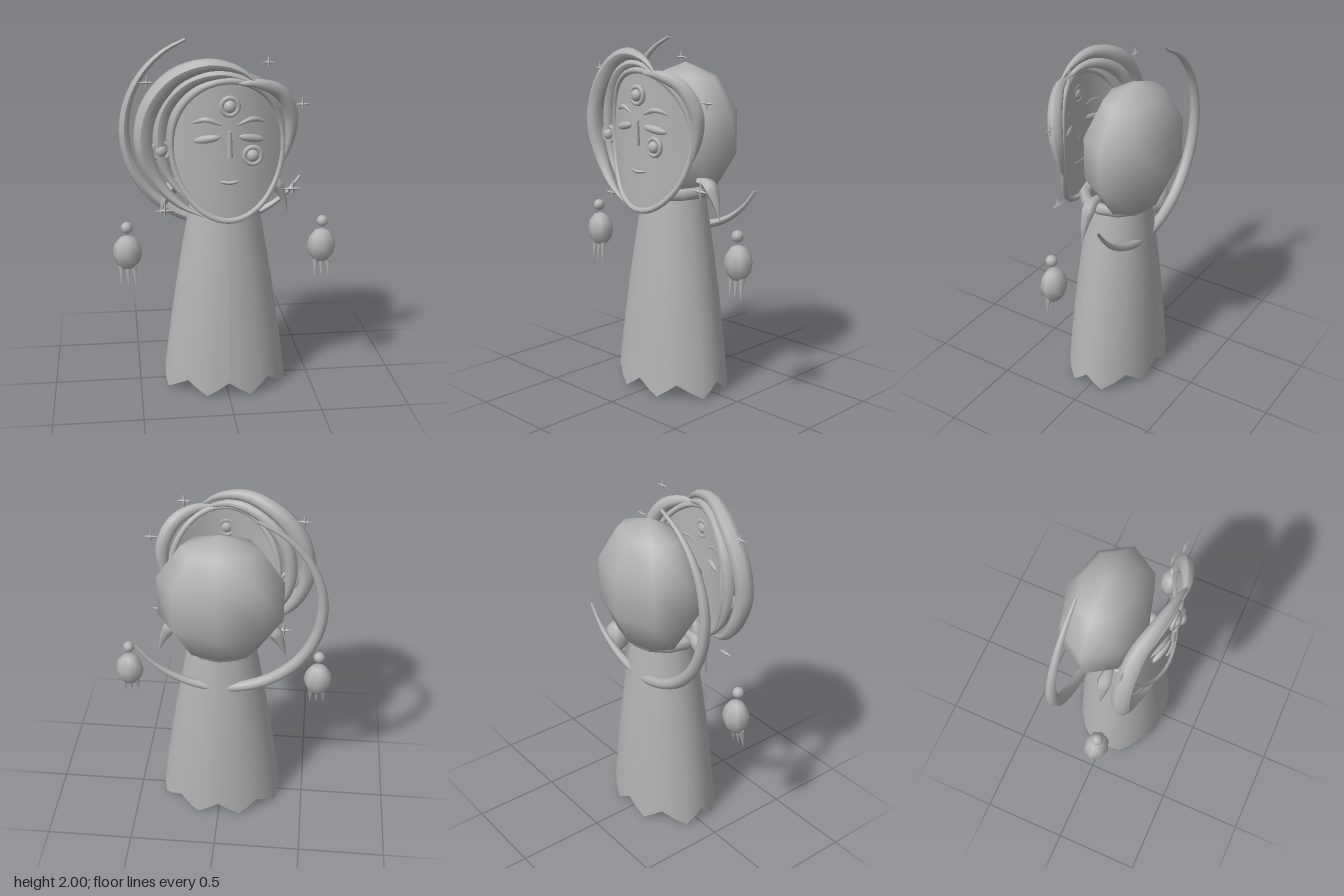
import * as THREE from 'three';

const clay = new THREE.MeshStandardMaterial({ color: 0xb2b2b2, side: THREE.DoubleSide });
clay.name = 'clay grey';
const clayFlat = clay;

const V = (p) => new THREE.Vector3(...p);

function add(parent, name, geometry, pos = [0, 0, 0], scale = [1, 1, 1]) {
  const mesh = new THREE.Mesh(geometry, clay);
  mesh.name = name;
  mesh.position.set(...pos);
  mesh.scale.set(...scale);
  parent.add(mesh);
  return mesh;
}

// Tube along a smooth curve whose radius follows a rule of t
function taperedTube(points, radius, segments = 32, sides = 8) {
  const curve = new THREE.CatmullRomCurve3(points.map(V));
  const g = new THREE.TubeGeometry(curve, segments, 1, sides);
  const p = g.attributes.position;
  const v = new THREE.Vector3();
  for (let i = 0; i <= segments; i++) {
    const c = curve.getPointAt(i / segments);
    const r = Math.max(radius(i / segments), 0.0015);
    for (let j = 0; j <= sides; j++) {
      const k = i * (sides + 1) + j;
      v.fromBufferAttribute(p, k).sub(c).multiplyScalar(r).add(c);
      p.setXYZ(k, v.x, v.y, v.z);
    }
  }
  g.computeVertexNormals();
  return g;
}
const swell = (r, power = 0.7) => (t) => r * Math.pow(Math.max(Math.sin(Math.PI * t), 0), power);

// Egg outline and curved surface of the mask
const maskZ = (x) => 0.275 - 0.1 * (x / 0.3) ** 2;
function maskPoint(angle, r) {
  const x = 0.305 * r * Math.sin(angle) * (1 + 0.05 * Math.cos(angle));
  return [x, 1.458 + 0.385 * r * Math.cos(angle), maskZ(x)];
}

// Hollow robe with a zigzag hem
function robeGeometry() {
  const quarter = [0, 20, 41, 69];
  const angles = [];
  for (let i = 0; i < 4; i++) {
    const q = i % 2 ? [0, 21, 49, 70] : quarter;
    q.forEach((a) => angles.push(i * 90 + a));
  }
  const g = new THREE.CylinderGeometry(1, 1, 1, 32, 6, true);
  const p = g.attributes.position;
  for (let row = 0; row <= 6; row++) {
    for (let j = 0; j <= 32; j++) {
      const n = Math.floor(j / 2);
      const a0 = n < 16 ? angles[n] : 360;
      const a1 = n < 15 ? angles[n + 1] : 360;
      const a = THREE.MathUtils.degToRad(j % 2 ? (a0 + a1) / 2 : a0);
      const hem = [0.088, 0.046, 0.006, 0.046][j % 4];
      const y = THREE.MathUtils.lerp(1.18, hem, row / 6);
      const k = (1.18 - y) / 1.18;
      const bulge = 0.012 * Math.sin(Math.PI * k);
      const rx = 0.18 + 0.185 * k + bulge;
      const rz = 0.168 + 0.105 * k + bulge;
      p.setXYZ(row * 33 + j, rx * Math.sin(a), y, 0.015 * k + rz * Math.cos(a));
    }
  }
  g.computeVertexNormals();
  return g;
}

// Thin four-pointed star: a double pyramid with alternate corners pulled in
function starGeometry() {
  const g = new THREE.SphereGeometry(1, 8, 2).toNonIndexed();
  g.rotateX(Math.PI / 2);
  const p = g.attributes.position;
  for (let i = 0; i < p.count; i++) {
    const x = p.getX(i), y = p.getY(i);
    const k = Math.abs(x * y) > 0.1 ? 0.24 : 1;
    p.setXYZ(i, x * k, y * k, p.getZ(i) * 0.22);
  }
  g.computeVertexNormals();
  return g;
}

// Ringed bead
function addRoundel(parent, name, x, y, z) {
  const group = new THREE.Group();
  group.name = name;
  group.position.set(x, y, z);
  add(group, 'roundelRing', new THREE.TorusGeometry(0.046, 0.013, 8, 24));
  add(group, 'roundelBead', new THREE.SphereGeometry(0.034, 16, 10), [0, 0, 0.006], [1, 1, 0.8]);
  parent.add(group);
}

export function createModel() {
  const model = new THREE.Group();
  model.name = 'maskedFigure';

  add(model, 'robe', robeGeometry());
  add(model, 'head', new THREE.SphereGeometry(1, 8, 5), [0, 1.48, -0.09], [0.363, 0.39, 0.245]);
  const collar = add(model, 'collar', new THREE.TorusGeometry(0.195, 0.034, 6, 12), [0, 1.16, 0.01]);
  collar.rotation.x = Math.PI / 2;

  // Mask plate and rim
  const mask = new THREE.Group();
  mask.name = 'mask';
  model.add(mask);
  const plate = new THREE.RingGeometry(0.001, 1, 40, 8);
  const pp = plate.attributes.position;
  for (let i = 0; i < pp.count; i++) {
    const x = pp.getX(i), y = pp.getY(i);
    pp.setXYZ(i, ...maskPoint(Math.atan2(x, y), Math.hypot(x, y)));
  }
  plate.computeVertexNormals();
  add(mask, 'maskPlate', plate);
  const rimPoints = Array.from({ length: 32 }, (_, i) => V(maskPoint((i / 32) * Math.PI * 2, 1)));
  const rimCurve = new THREE.CatmullRomCurve3(rimPoints, true);
  add(mask, 'maskRim', new THREE.TubeGeometry(rimCurve, 64, 0.017, 8, true));

  // Face details
  for (const s of [-1, 1]) {
    const eye = add(mask, 'eye', new THREE.SphereGeometry(1, 16, 8),
      [s * 0.12, 1.533, maskZ(0.12) + 0.008], [0.075, 0.022, 0.02]);
    eye.rotation.set(0, s * 0.26, -s * 0.18);
    add(mask, 'eyebrow', taperedTube([
      [s * 0.2, 1.615, maskZ(0.2) + 0.008],
      [s * 0.125, 1.638, maskZ(0.125) + 0.012],
      [s * 0.04, 1.608, maskZ(0.04) + 0.008]], swell(0.014, 0.6), 14, 6));
  }
  add(mask, 'nose', new THREE.CylinderGeometry(0.011, 0.016, 0.14, 8), [0, 1.505, 0.287]);
  add(mask, 'mouth', taperedTube([[-0.053, 1.298, 0.275], [0, 1.291, 0.282], [0.053, 1.298, 0.275]],
    swell(0.011, 0.3), 12, 6));
  addRoundel(mask, 'foreheadRoundel', 0, 1.71, 0.284);
  addRoundel(mask, 'cheekRoundel', 0.125, 1.44, 0.278);
  addRoundel(mask, 'sideRoundel', -0.36, 1.452, 0.17);

  // Swept locks around the mask
  const hair = new THREE.Group();
  hair.name = 'hair';
  model.add(hair);
  add(hair, 'outerLock', taperedTube([
    [0.16, 1.82, 0.29], [0.05, 1.9, 0.275], [-0.11, 1.925, 0.25], [-0.29, 1.85, 0.2],
    [-0.42, 1.69, 0.185], [-0.458, 1.5, 0.19], [-0.4, 1.31, 0.19], [-0.28, 1.17, 0.22],
    [-0.13, 1.09, 0.26]], swell(0.054, 0.85), 40, 8));
  add(hair, 'innerLock', taperedTube([
    [0.13, 1.83, 0.275], [-0.03, 1.875, 0.25], [-0.2, 1.83, 0.205], [-0.33, 1.69, 0.165],
    [-0.37, 1.5, 0.16], [-0.33, 1.32, 0.17], [-0.22, 1.17, 0.21]], swell(0.04, 0.7), 36, 8));
  add(hair, 'sideLock', taperedTube([
    [0.04, 1.83, 0.285], [0.16, 1.825, 0.275], [0.28, 1.765, 0.225], [0.345, 1.64, 0.185],
    [0.345, 1.52, 0.17], [0.31, 1.37, 0.17]], swell(0.042, 0.7), 28, 8));

  // Large crescent behind the shoulders
  const arc = Array.from({ length: 17 }, (_, i) => {
    const a = THREE.MathUtils.degToRad(111 + (217 * i) / 16);
    return [0.553 * Math.cos(a), 1.484 + 0.553 * Math.sin(a), -0.163];
  });
  add(model, 'backCrescent', taperedTube(arc, (t) => 0.009 + 0.025 * Math.sin(Math.PI * t), 48, 8));

  // Horn-shaped drops at the neck
  for (const s of [-1, 1]) {
    add(model, 'neckDrop', taperedTube([
      [s * 0.2, 1.23, 0.015], [s * 0.28, 1.215, 0.015], [s * 0.33, 1.14, 0.015], [s * 0.368, 1.025, 0.015]],
    (t) => (t < 0.35 ? 0.02 + 0.065 * t : 0.043 * (1 - t) / 0.65), 16, 6));
  }

  // Floating hands with pointed fingers
  for (const s of [-1, 1]) {
    const hand = new THREE.Group();
    hand.name = 'floatingHand';
    hand.position.set(s * 0.557, 0, 0.075);
    add(hand, 'palm', new THREE.SphereGeometry(1, 8, 6), [0, 0.84, 0], [0.083, 0.102, 0.071]);
    add(hand, 'wristBead', new THREE.SphereGeometry(0.033, 12, 8), [0, 0.99, 0.01]);
    for (const f of [-1, 0, 1]) {
      const finger = add(hand, 'finger', new THREE.ConeGeometry(0.019, 0.12, 6), [f * 0.038, 0.7, 0.02]);
      finger.rotation.set(Math.PI - 0.15, 0, -f * 0.06);
    }
    model.add(hand);
  }

  // Floating stars
  const star = starGeometry();
  const stars = [[0.22, 1.92, 0.043], [0.41, 1.69, 0.043], [0.365, 1.215, 0.057],
    [-0.43, 1.825, 0.045], [-0.345, 1.11, 0.055]];
  for (const [x, y, r] of stars) add(model, 'star', star, [x, y, 0.172], [r, r, r]);

  return model;
}
